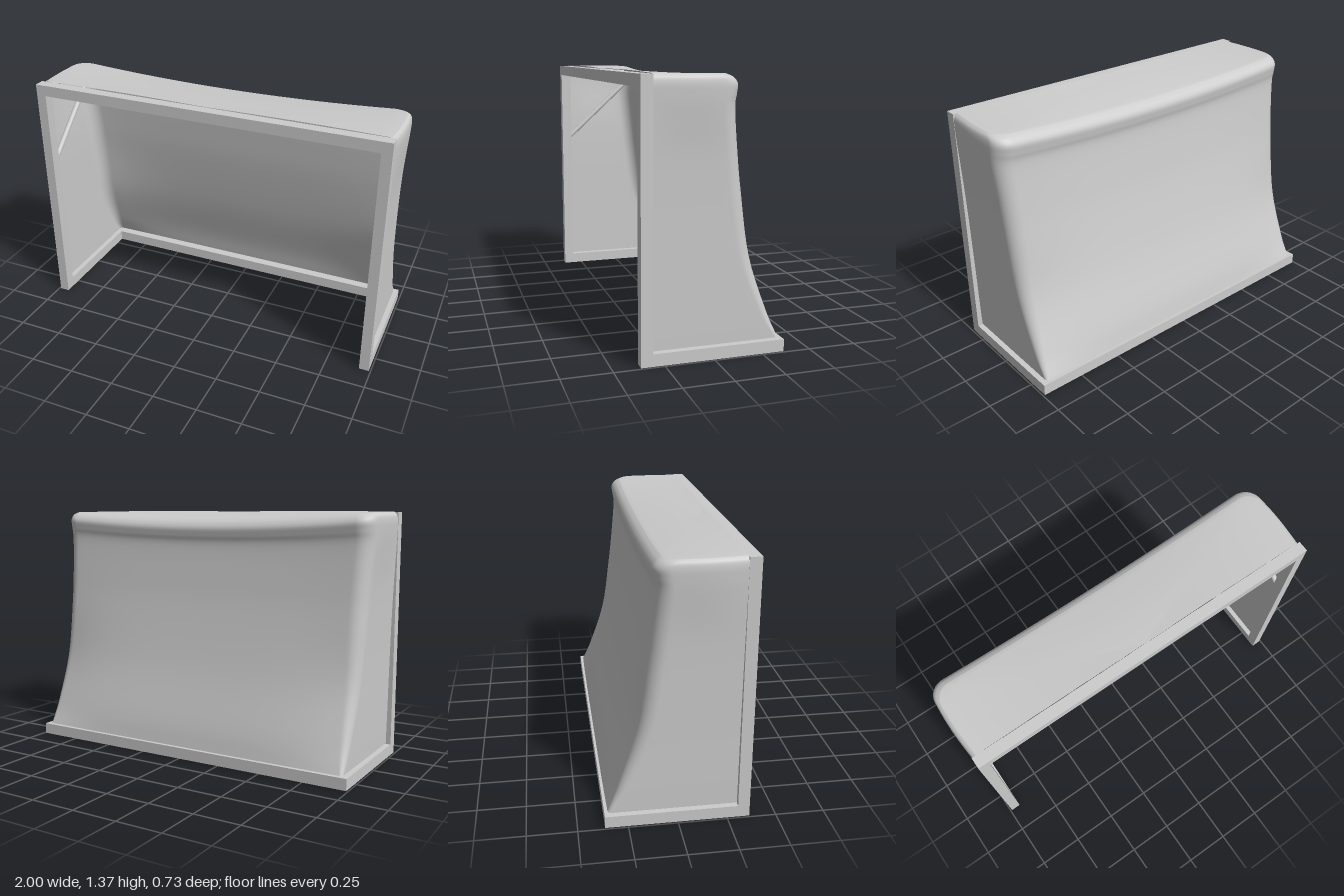
import * as THREE from 'three';

const grey = new THREE.MeshStandardMaterial({ color: 0xcccccc });
const netGrey = new THREE.MeshStandardMaterial({ color: 0xcccccc, side: THREE.DoubleSide });
const FRONT = 0.305; // plane where the net meets the back of the posts

// box given by its lower and upper corners
function bar(name, lo, hi) {
  const size = hi.map((v, i) => v - lo[i]);
  const mesh = new THREE.Mesh(new THREE.BoxGeometry(...size), grey);
  mesh.position.set(...lo.map((v, i) => v + size[i] / 2));
  mesh.name = name;
  return mesh;
}

// round rod between two points
function rod(name, from, to, radius) {
  const a = new THREE.Vector3(...from), b = new THREE.Vector3(...to);
  const dir = b.clone().sub(a);
  const mesh = new THREE.Mesh(new THREE.CylinderGeometry(radius, radius, dir.length(), 16), grey);
  mesh.position.copy(a).add(b).multiplyScalar(0.5);
  mesh.quaternion.setFromUnitVectors(new THREE.Vector3(0, 1, 0), dir.normalize());
  mesh.name = name;
  return mesh;
}

// draped net: U-shaped sections stacked up the sides, then closing inwards over the roof
function netGeometry() {
  // height, half width, back corner z, corner radius, bulge of the back panel
  const sections = [
    [0.065, 0.962, -0.348, 0.02, 0.004],
    [0.2, 0.964, -0.292, 0.045, 0.03],
    [0.48, 0.967, -0.202, 0.07, 0.036],
    [0.8, 0.972, -0.155, 0.08, 0.012],
    [1.0, 0.978, -0.131, 0.08, 0.004],
    [1.2, 0.986, -0.113, 0.08, 0.001],
    [1.27, 0.988, -0.12, 0.08, 0.001],
    [1.315, 0.988, -0.124, 0.08, 0],
    [1.345, 0.982, -0.105, 0.08, 0],
    [1.362, 0.965, -0.075, 0.08, 0],
  ];
  const curve = (pick) => new THREE.CatmullRomCurve3(
    sections.map((s) => new THREE.Vector3(...pick(s))), false, 'catmullrom');
  const outer = curve((s) => [s[1], s[0], s[2]]);
  const inner = curve((s) => [s[3], s[4], 0]);

  const rows = [];
  for (let i = 0; i <= 45; i++) {
    const p = outer.getPoint(i / 45), q = inner.getPoint(i / 45);
    rows.push({ y: p.y, w: p.x, back: p.z, r: q.x, bulge: q.y });
  }
  for (let i = 1; i <= 16; i++) {
    const t = i / 16;
    rows.push({
      y: 1.362 + 0.005 * Math.sin(Math.PI * t), w: 0.965 * (1 - t),
      back: THREE.MathUtils.lerp(-0.075, FRONT, t), r: 0.08 * (1 - t), bulge: 0,
    });
  }

  const SIDE = 10, CORNER = 8, HALF = 14;
  const positions = [], index = [];
  let columns = 0;
  for (const { y, w, back, r, bulge } of rows) {
    const half = [];
    for (let i = 0; i < SIDE; i++) {
      half.push([w, THREE.MathUtils.lerp(FRONT, back + r, i / SIDE)]);
    }
    for (let i = 0; i < CORNER; i++) {
      const a = (i / CORNER) * Math.PI / 2;
      half.push([w - r + r * Math.cos(a), back + r - r * Math.sin(a)]);
    }
    for (let i = 0; i <= HALF; i++) {
      const k = 1 - i / HALF;
      half.push([(w - r) * k, back - bulge * (1 - k ** 4)]);
    }
    const section = [...half, ...half.slice(0, -1).reverse().map(([x, z]) => [-x, z])];
    columns = section.length;
    const high = THREE.MathUtils.smoothstep(y, 0.95, 1.33);
    for (const [x, z] of section) {
      const depth = THREE.MathUtils.clamp((FRONT - z) / 0.43, 0, 1);
      const sag = 0.045 * high * depth * (1 - x * x);
      const swell = 1 + 0.013 * high * Math.sin(Math.PI * depth);
      positions.push(x * swell, y - sag, z);
    }
  }
  for (let j = 0; j < rows.length - 1; j++) {
    for (let i = 0; i < columns - 1; i++) {
      const a = j * columns + i, b = a + columns;
      index.push(a, a + 1, b + 1, a, b + 1, b);
    }
  }
  const geometry = new THREE.BufferGeometry();
  geometry.setAttribute('position', new THREE.Float32BufferAttribute(positions, 3));
  geometry.setIndex(index);
  geometry.computeVertexNormals();
  return geometry;
}

export function createModel() {
  const goal = new THREE.Group();
  goal.name = 'goal';

  // square front frame and back ground bar
  goal.add(bar('crossbar', [-0.935, 1.3, FRONT], [0.935, 1.36, 0.365]));
  goal.add(bar('backGroundBar', [-0.935, 0, -0.365], [0.935, 0.062, -0.305]));

  // posts, side ground bars and net supports, mirrored
  for (const [side, s] of [['left', 1], ['right', -1]]) {
    const x0 = s > 0 ? 0.935 : -0.99, x1 = s > 0 ? 0.99 : -0.935;
    goal.add(bar(side + 'Post', [x0, 0, FRONT], [x1, 1.36, 0.365]));
    goal.add(bar(side + 'GroundBar', [x0, 0, -0.365], [x1, 0.062, FRONT]));
    goal.add(rod(side + 'TopSupport', [s * 0.955, 1.33, 0.32], [s * 0.955, 1.32, -0.07], 0.015));
    goal.add(rod(side + 'Brace', [s * 0.955, 0.88, 0.32], [s * 0.955, 1.25, -0.085], 0.015));
  }

  const net = new THREE.Mesh(netGeometry(), netGrey);
  net.name = 'net';
  goal.add(net);
  return goal;
}
